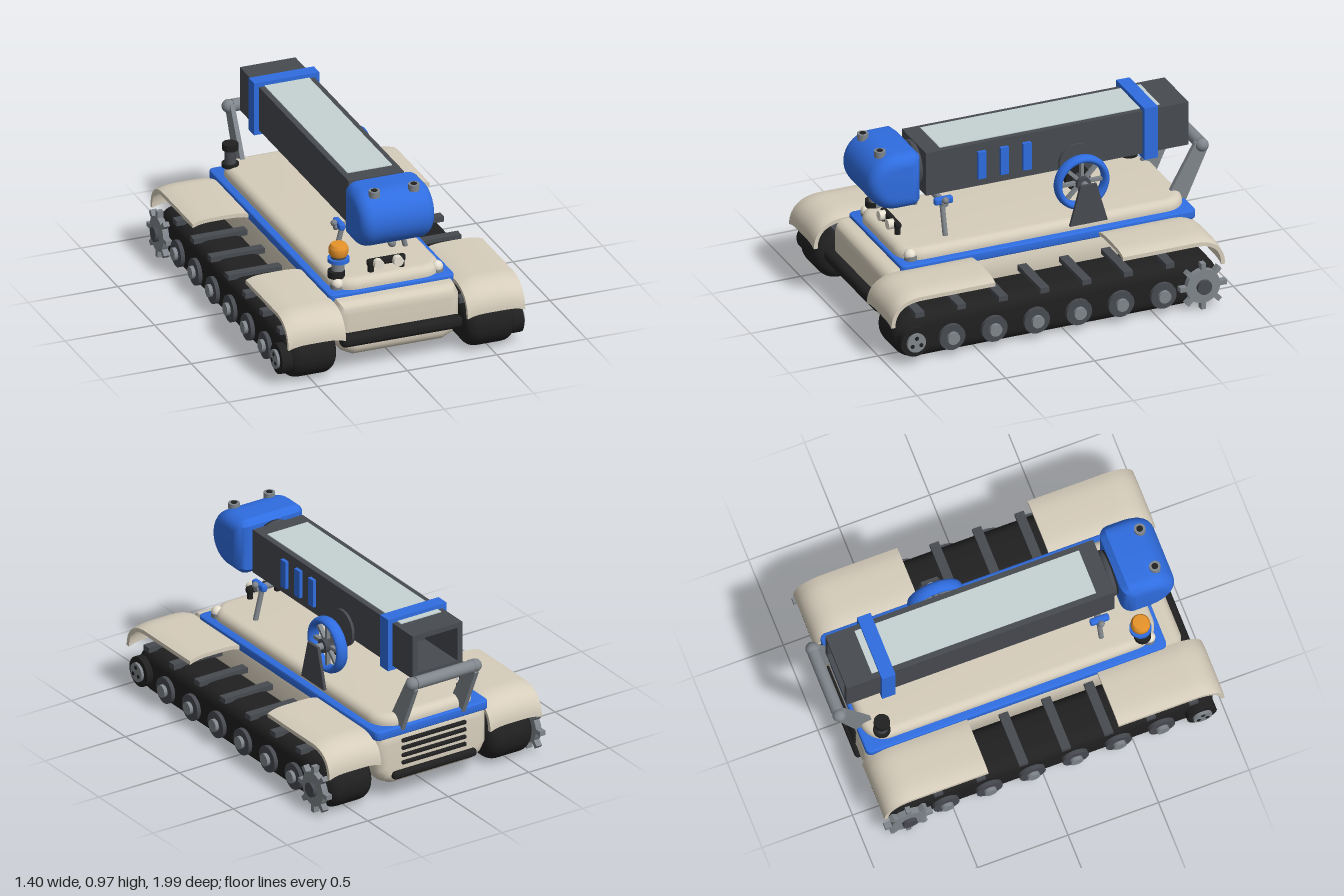
import * as THREE from 'three';
import { toCreasedNormals } from 'three/addons/utils/BufferGeometryUtils.js';
import { RoundedBoxGeometry } from 'three/addons/geometries/RoundedBoxGeometry.js';

const mat = (color) => new THREE.MeshStandardMaterial({ color, side: THREE.DoubleSide });

export function createModel() {
  const root = new THREE.Group();
  const M = {
    beige: mat(0xd6cdbb), blue: mat(0x2f6de0), black: mat(0x202020), dark: mat(0x474a50),
    grey: mat(0x80868c), glass: mat(0xc6d2d2), orange: mat(0xe8942a), cream: mat(0xe6e0d0),
  };
  const add = (name, geo, m, x = 0, y = 0, z = 0) => {
    const mesh = new THREE.Mesh(geo, m);
    mesh.name = name;
    mesh.position.set(x, y, z);
    root.add(mesh);
    return mesh;
  };
  const box = (w, h, d, r = 0) => r ? new RoundedBoxGeometry(w, h, d, 3, r) : new THREE.BoxGeometry(w, h, d);
  const cyl = (r, len, axis = 'y', r2 = r, n = 24) => {
    const g = new THREE.CylinderGeometry(r, r2, len, n);
    if (axis === 'x') g.rotateZ(-Math.PI / 2);
    if (axis === 'z') g.rotateX(Math.PI / 2);
    return g;
  };
  // Bevelled extrusion, centred along its axis; outline stays at the given size
  const extrude = (shape, len, bevel, axis = 'z', steps = 1) => {
    const g = new THREE.ExtrudeGeometry(shape, {
      depth: len - 2 * bevel, steps, curveSegments: 14, bevelEnabled: bevel > 0,
      bevelThickness: bevel, bevelSize: bevel, bevelOffset: -bevel, bevelSegments: 6,
    });
    g.translate(0, 0, bevel - len / 2);
    if (axis === 'x') g.rotateY(-Math.PI / 2); // shape (u, v) becomes (z, y)
    if (axis === 'y') g.rotateX(-Math.PI / 2); // shape (u, v) becomes (x, -z)
    return toCreasedNormals(g, 0.65);
  };
  const poly = (pts) => new THREE.Shape(pts.map((p) => new THREE.Vector2(...p)));
  const roundRect = (w, h, r) => {
    const s = new THREE.Shape(), a = w / 2 - r, b = h / 2 - r;
    s.absarc(a, b, r, 0, Math.PI / 2);
    s.absarc(-a, b, r, Math.PI / 2, Math.PI);
    s.absarc(-a, -b, r, Math.PI, 1.5 * Math.PI);
    s.absarc(a, -b, r, 1.5 * Math.PI, 2 * Math.PI);
    return s;
  };
  const rod = (name, a, b, r, m) => {
    const p = new THREE.Vector3(...a), q = new THREE.Vector3(...b), d = q.clone().sub(p);
    const mesh = add(name, cyl(r, d.length(), 'y', r, 14), m);
    mesh.position.copy(p).add(q).multiplyScalar(0.5);
    mesh.quaternion.setFromUnitVectors(new THREE.Vector3(0, 1, 0), d.normalize());
  };

  // Hull, trim and raised deck
  const hull = poly([[-0.25, 0.08], [0.25, 0.08], [0.31, 0.11], [0.345, 0.17], [0.345, 0.33],
    [0.32, 0.385], [-0.32, 0.385], [-0.345, 0.33], [-0.345, 0.17], [-0.31, 0.11]]);
  add('hull', extrude(hull, 1.76, 0.06), M.beige, 0, 0, 0.015);
  add('deckTrim', extrude(roundRect(0.7, 1.66, 0.03), 0.05, 0.008, 'y'), M.blue, 0, 0.38, -0.03);
  add('deck', extrude(roundRect(0.62, 1.62, 0.13), 0.12, 0.045, 'y'), M.beige, 0, 0.4, -0.03);
  add('frontBumper', box(0.68, 0.07, 0.07, 0.03), M.black, 0, 0.193, 0.912);
  add('rearBumper', box(0.52, 0.045, 0.05, 0.02), M.black, 0, 0.14, -0.865);
  for (let i = 0; i < 4; i++) add('grilleSlot', box(0.4, 0.022, 0.025, 0.009), M.black, 0, 0.2 + i * 0.042, -0.866);

  // Fender: a bent strip of even thickness, crowned across its width
  const fender = (flat, bend, end) => {
    const s = new THREE.Shape(), t = 0.022, d = Math.sign(bend - flat);
    s.moveTo(flat, 0.4);
    s.lineTo(bend, 0.4);
    s.bezierCurveTo(bend + (end - bend) * 0.65, 0.4, end, 0.34, end, 0.25);
    s.lineTo(end - d * t, 0.25);
    s.bezierCurveTo(end - d * t, 0.33, bend + (end - bend) * 0.6, 0.4 - t, bend, 0.4 - t);
    s.lineTo(flat, 0.4 - t);
    const g = extrude(s, 0.32, 0, 'x', 10), p = g.attributes.position;
    for (let i = 0; i < p.count; i++) p.setY(i, p.getY(i) - 0.018 * (p.getX(i) / 0.16) ** 4);
    return toCreasedNormals(g, 0.65);
  };

  // Sprocket outline with eight teeth
  const sprocket = new THREE.Shape();
  for (let i = 0; i < 8; i++) {
    [[-0.38, 0.095], [-0.17, 0.095], [-0.13, 0.132], [0.13, 0.132], [0.17, 0.095]].forEach(([o, r], k) => {
      const a = (i + o) * Math.PI / 4;
      sprocket[i + k ? 'lineTo' : 'moveTo'](Math.cos(a) * r, Math.sin(a) * r);
    });
  }

  // Running gear, mirrored
  for (const s of [-1, 1]) {
    add('track', extrude(roundRect(1.83, 0.26, 0.129), 0.28, 0.07, 'x'), M.black, s * 0.498, 0.14, 0.045);
    for (let i = 0; i < 7; i++) add('treadBar', box(0.3, 0.03, 0.05), M.dark, s * 0.5, 0.275, 0.83 - i * 0.235);
    for (let i = 0; i < 6; i++) {
      const z = 0.65 - i * 0.238;
      add('roadWheel', cyl(0.072, 0.06, 'x'), M.dark, s * 0.63, 0.113, z);
      add('roadWheelHub', cyl(0.034, 0.03, 'x'), M.grey, s * 0.665, 0.113, z);
    }
    add('idlerRim', cyl(0.082, 0.06, 'x'), M.black, s * 0.645, 0.135, 0.865);
    add('idler', cyl(0.052, 0.05, 'x'), M.grey, s * 0.665, 0.135, 0.865);
    for (let i = 0; i < 3; i++) {
      const a = Math.PI / 2 + i * Math.PI * 2 / 3;
      add('idlerHole', cyl(0.011, 0.006, 'x'), M.black, s * 0.69, 0.135 + Math.sin(a) * 0.028, 0.865 + Math.cos(a) * 0.028);
    }
    add('sprocket', extrude(sprocket, 0.034, 0, 'x'), M.grey, s * 0.663, 0.135, -0.755);
    add('sprocketHub', cyl(0.04, 0.05, 'x'), M.dark, s * 0.675, 0.135, -0.755);
    add('frontFender', fender(0.41, 0.82, 0.995), M.beige, s * 0.5);
    add('rearFender', fender(-0.31, -0.72, -0.885), M.beige, s * 0.5);

    // Headlights, boom support and rear lift arms
    add('headlightBase', cyl(0.035, 0.03), M.grey, s * 0.278, 0.415, 0.72);
    add('headlight', new THREE.SphereGeometry(0.032, 20, 12), M.cream, s * 0.278, 0.43, 0.725);
    rod('supportLeg', [s * 0.155, 0.63, 0.49], [s * 0.2, 0.45, 0.49], 0.014, M.grey);
    add('supportClamp', box(0.035, 0.04, 0.105, 0.012), M.blue, s * 0.172, 0.65, 0.49);
    add('clampPin', new THREE.SphereGeometry(0.018, 14, 10), M.grey, s * 0.2, 0.66, 0.49);
    const arm = poly([[-0.74, 0.39], [-0.85, 0.36], [-0.985, 0.66], [-0.965, 0.705], [-0.92, 0.71]]);
    add('liftArm', extrude(arm, 0.025, 0, 'x'), M.grey, s * 0.188);
    add('barEnd', new THREE.SphereGeometry(0.036, 18, 12), M.grey, s * 0.195, 0.69, -0.957);

    // Eye knobs and lamps on the head bar
    add('headKnob', cyl(0.03, 0.035), M.grey, s * 0.11, 0.957, 0.82);
    add('headKnobCap', cyl(0.017, 0.01), M.black, s * 0.11, 0.972, 0.82);
    add('lamp', cyl(0.027, 0.035, 'z'), M.cream, s * 0.054, 0.508, 0.738);
    add('lampFoot', cyl(0.016, 0.07), M.black, s * 0.085, 0.48, 0.71);
  }
  add('supportBar', cyl(0.018, 0.4, 'x'), M.grey, 0, 0.638, 0.49);
  add('liftBar', cyl(0.034, 0.35, 'x'), M.grey, 0, 0.69, -0.957);
  add('lampBar', box(0.215, 0.04, 0.035, 0.015), M.black, 0, 0.51, 0.71);

  // Square boom, hollow at the rear
  add('boom', box(0.31, 0.245, 1.18), M.dark, 0, 0.807, -0.01);
  const frame = poly([[-0.155, -0.1225], [0.155, -0.1225], [0.155, 0.1225], [-0.155, 0.1225]]);
  frame.holes.push(poly([[-0.125, -0.095], [-0.125, 0.095], [0.125, 0.095], [0.125, -0.095]]));
  add('boomMouth', extrude(frame, 0.3, 0), M.dark, 0, 0.807, -0.75);
  add('innerBall', new THREE.SphereGeometry(0.04, 16, 12), M.grey, 0, 0.8, -0.62);
  add('topWindow', box(0.25, 0.012, 1.24), M.glass, 0, 0.928, -0.13);
  const collar = poly([[-0.182, -0.148], [0.182, -0.148], [0.182, 0.148], [-0.182, 0.148]]);
  collar.holes.push(poly([[-0.15, -0.118], [-0.15, 0.118], [0.15, 0.118], [0.15, -0.118]]));
  add('boomCollar', extrude(collar, 0.075, 0), M.blue, 0, 0.807, -0.677);
  for (let i = 0; i < 3; i++) add('sideSlat', box(0.035, 0.155, 0.047), M.blue, 0.157, 0.807, 0.27 - i * 0.127);

  // Domed head and neck
  add('neck', cyl(0.12, 0.1, 'z', 0.12, 32), M.black, 0, 0.807, 0.6);
  const neckRing = add('neckRing', new THREE.TorusGeometry(0.108, 0.018, 12, 32), M.dark, 0, 0.807, 0.595);
  neckRing.scale.z = 1.1;
  const head = new THREE.Shape();
  head.moveTo(0.65, 0.65);
  head.lineTo(0.755, 0.65);
  head.absarc(0.755, 0.805, 0.155, -Math.PI / 2, Math.PI / 2);
  head.lineTo(0.65, 0.96);
  head.lineTo(0.617, 0.93);
  head.lineTo(0.617, 0.68);
  add('head', extrude(head, 0.42, 0.07, 'x'), M.blue);
  add('headPin', new THREE.SphereGeometry(0.022, 14, 10), M.grey, 0, 0.642, 0.79);

  // Handwheel on the left, with spokes and bracket
  const wy = 0.642, wz = -0.255;
  const rim = add('handwheelRim', new THREE.TorusGeometry(0.133, 0.02, 12, 40), M.blue, 0.25, wy, wz);
  rim.rotation.y = Math.PI / 2;
  rim.scale.z = 1.7;
  for (let i = 0; i < 4; i++) {
    const spoke = add('handwheelSpoke', box(0.022, 0.25, 0.018), M.grey, 0.25, wy, wz);
    spoke.rotation.x = i * Math.PI / 4;
  }
  add('handwheelHub', cyl(0.038, 0.07, 'x'), M.dark, 0.25, wy, wz);
  add('axle', cyl(0.019, 0.19, 'x'), M.grey, 0.24, wy, wz);
  add('axlePlate', cyl(0.07, 0.035, 'x'), M.black, 0.19, wy, wz);
  add('axleBase', cyl(0.1, 0.02, 'x'), M.dark, 0.16, 0.72, -0.265);
  const bracket = poly([[-0.15, 0.445], [-0.21, 0.665], [-0.3, 0.665], [-0.362, 0.445]]);
  add('wheelBracket', extrude(bracket, 0.016, 0, 'x'), M.dark, 0.336);

  // Beacon on a post, and exhaust stack, both on the right
  add('beaconFoot', cyl(0.045, 0.035), M.black, -0.27, 0.473, 0.69);
  add('beaconPost', cyl(0.034, 0.09), M.grey, -0.258, 0.505, 0.685);
  add('beaconPlate', cyl(0.058, 0.02), M.blue, -0.255, 0.55, 0.685);
  add('beaconCollar', cyl(0.04, 0.025), M.dark, -0.255, 0.565, 0.685);
  const dome = [[0, 0], [0.045, 0], [0.051, 0.015], [0.051, 0.045], [0.04, 0.065], [0, 0.068]];
  add('beacon', toCreasedNormals(new THREE.LatheGeometry(dome.map((p) => new THREE.Vector2(...p)), 20), 0.5),
    M.orange, -0.255, 0.573, 0.685);
  add('stack', cyl(0.03, 0.12), M.dark, -0.27, 0.5, -0.75);
  add('stackCap', cyl(0.042, 0.035), M.black, -0.27, 0.565, -0.75);
  add('stackFoot', cyl(0.045, 0.02), M.black, -0.27, 0.462, -0.75);
  return root;
}
